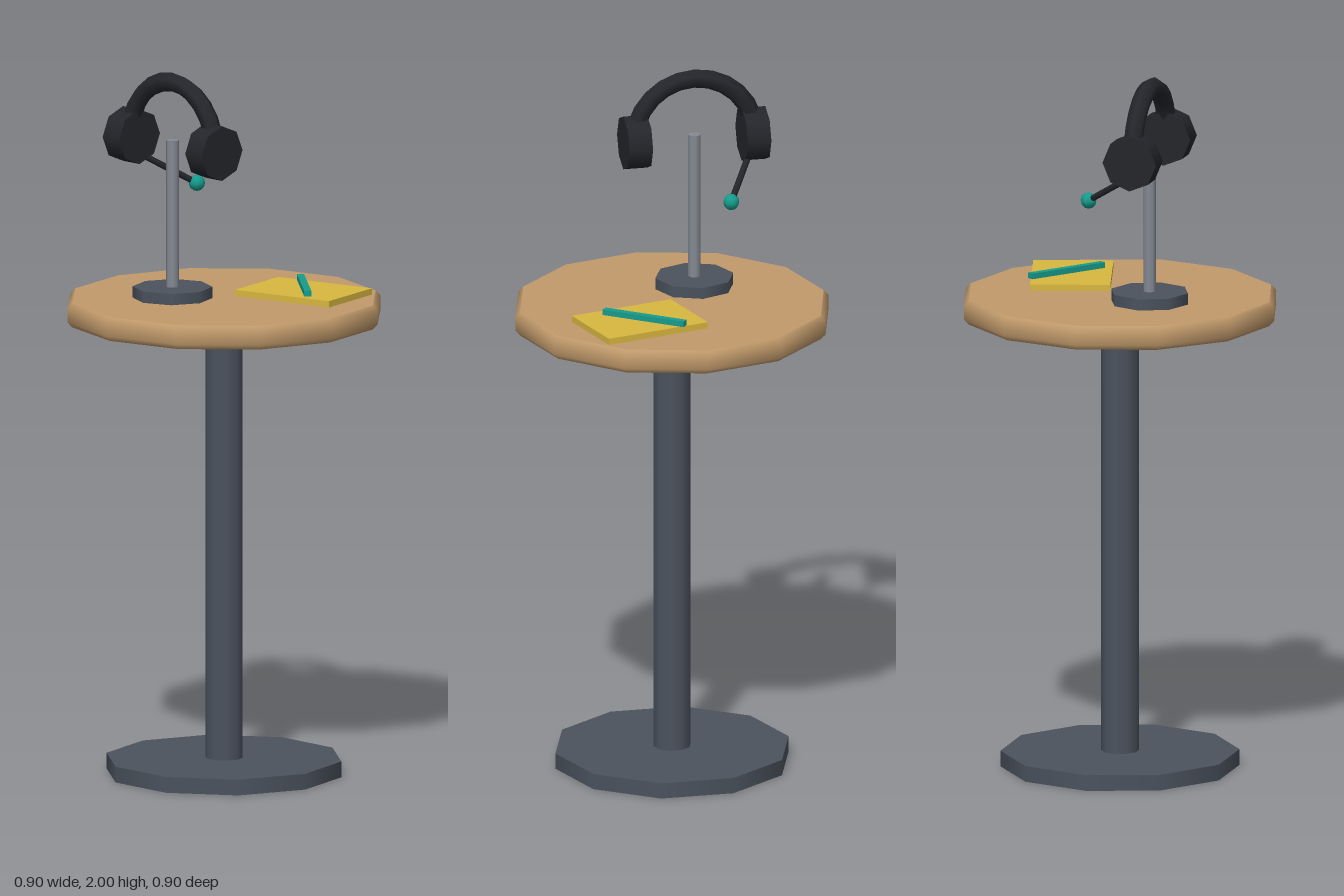
import * as THREE from 'three';

const mat = (color) => new THREE.MeshStandardMaterial({ color });
const STEEL = mat(0x4b535e), ROD = mat(0x858b94), WOOD = mat(0xc19a6b);
const BLACK = mat(0x24262b), TEAL = mat(0x159c8c), YELLOW = mat(0xd9b840);

function add(parent, name, geometry, material, x = 0, y = 0, z = 0) {
  const mesh = new THREE.Mesh(geometry, material);
  mesh.name = name;
  mesh.position.set(x, y, z);
  parent.add(mesh);
  return mesh;
}

// Upright cylinder between two heights
function post(parent, name, radius, y0, y1, sides, material, x = 0, z = 0) {
  const geometry = new THREE.CylinderGeometry(radius, radius, y1 - y0, sides);
  return add(parent, name, geometry, material, x, (y0 + y1) / 2, z);
}

function group(parent, name) {
  const g = new THREE.Group();
  g.name = name;
  parent.add(g);
  return g;
}

export function createModel() {
  const model = new THREE.Group();
  model.name = 'tableWithHeadset';

  // Pedestal table
  const table = group(model, 'table');
  post(table, 'tableBase', 0.335, 0, 0.045, 10, STEEL);
  post(table, 'tableColumn', 0.053, 0.045, 1.3, 10, STEEL);

  // Tabletop: softened rim plus flat faces above and below
  const top = group(table, 'tableTop');
  const rim = [[0.436, 1.29], [0.45, 1.305], [0.45, 1.343], [0.436, 1.358]];
  const profile = rim.map(([r, y]) => new THREE.Vector2(r, y));
  add(top, 'tableTopRim', new THREE.LatheGeometry(profile, 12), WOOD);
  const face = new THREE.CircleGeometry(0.436, 12);
  add(top, 'tableTopUpperFace', face, WOOD, 0, 1.358, 0).rotation.x = -Math.PI / 2;
  add(top, 'tableTopLowerFace', face, WOOD, 0, 1.29, 0).rotation.x = Math.PI / 2;

  // Headset stand
  const sx = -0.113, sz = -0.09;
  const stand = group(model, 'headsetStand');
  post(stand, 'standFoot', 0.112, 1.355, 1.39, 8, STEEL, sx, sz);
  post(stand, 'standRod', 0.018, 1.39, 1.808, 8, ROD, sx, sz);

  // Headset: arched band, two ear cups
  const headset = group(model, 'headset');
  const band = new THREE.TorusGeometry(0.173, 0.027, 6, 12, Math.PI);
  add(headset, 'headband', band, BLACK, sx, 1.8, sz).rotation.y = Math.PI / 2;
  const cup = new THREE.CylinderGeometry(0.078, 0.078, 0.068, 8).rotateX(Math.PI / 2);
  for (const side of [-1, 1]) {
    add(headset, side < 0 ? 'backEarCup' : 'frontEarCup', cup, BLACK, sx, 1.798, sz + side * 0.17);
  }

  // Microphone boom reaching out from the back ear cup
  const from = new THREE.Vector3(sx, 1.757, -0.255);
  const tip = new THREE.Vector3(0.045, 1.655, -0.16);
  const boom = new THREE.CylinderGeometry(0.009, 0.009, from.distanceTo(tip), 6);
  const arm = add(headset, 'microphoneBoom', boom, BLACK);
  arm.position.lerpVectors(from, tip, 0.5);
  arm.quaternion.setFromUnitVectors(new THREE.Vector3(0, 1, 0), tip.clone().sub(from).normalize());
  add(headset, 'microphoneTip', new THREE.SphereGeometry(0.023, 8, 6), TEAL, tip.x, tip.y, tip.z);

  // Notepad with a pen lying across it
  add(model, 'notepad', new THREE.BoxGeometry(0.225, 0.018, 0.312), YELLOW, 0.18, 1.367, 0.134).rotation.y = 0.255;
  add(model, 'pen', new THREE.BoxGeometry(0.25, 0.016, 0.02), TEAL, 0.192, 1.384, 0.123).rotation.y = 0.905;

  return model;
}
